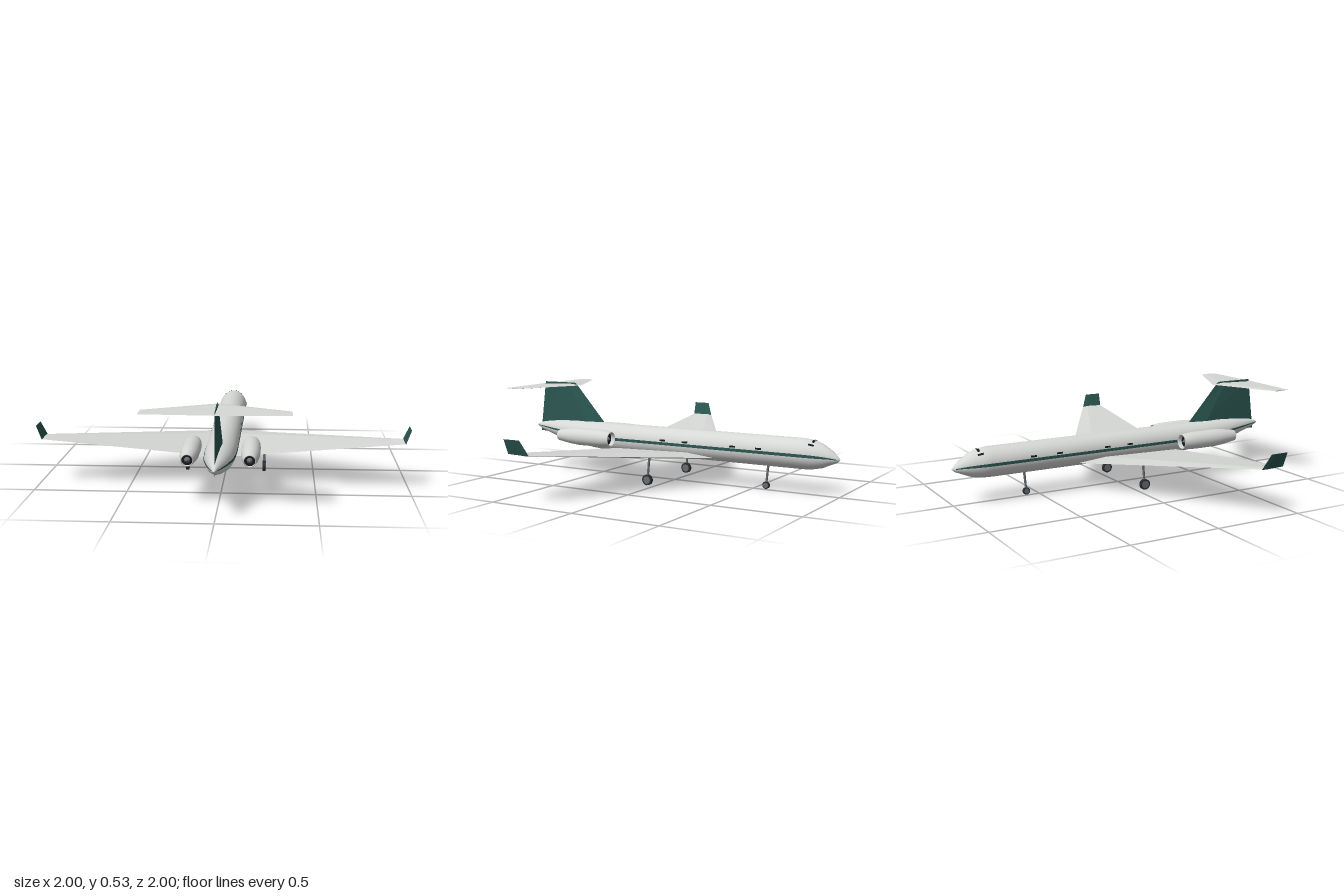
import * as THREE from 'three';

const paint = (name, color, side = THREE.FrontSide) => {
  const m = new THREE.MeshStandardMaterial({ color, side });
  m.name = name;
  return m;
};

// Skin through rings of equal point count, with end caps when closed
function loft(rings, { flat = false, closed = true } = {}) {
  const n = rings[0].length, pos = rings.flat(2), idx = [];
  for (let i = 0; i < rings.length - 1; i++) {
    for (let j = 0; j < (closed ? n : n - 1); j++) {
      const a = i * n + j, b = i * n + (j + 1) % n;
      idx.push(a, b, a + n, b, b + n, a + n);
    }
  }
  if (closed) {
    const e = (rings.length - 1) * n;
    for (let j = 1; j < n - 1; j++) idx.push(0, j + 1, j, e, e + j, e + j + 1);
    // Turn the faces outward if the enclosed volume is negative
    const v = k => new THREE.Vector3().fromArray(pos, k * 3);
    let volume = 0;
    for (let k = 0; k < idx.length; k += 3) volume += v(idx[k]).dot(v(idx[k + 1]).cross(v(idx[k + 2])));
    if (volume < 0) idx.reverse();
  }
  let g = new THREE.BufferGeometry();
  g.setAttribute('position', new THREE.Float32BufferAttribute(pos, 3));
  g.setIndex(idx);
  if (flat) g = g.toNonIndexed();
  g.computeVertexNormals();
  return g;
}

// Wedge-shaped aerofoil; each section is leading edge, trailing edge, upper and lower thickness vector
function foil(sections) {
  return loft(sections.map(([le, te, up, down]) => {
    const ridge = (t, s) => le.map((c, i) => c + (te[i] - c) * 0.25 + s * t[i]);
    return [le, ridge(up, 1), te, ridge(down ?? up, -1)];
  }), { flat: true });
}

// Body stations: z, centre height, half width, half height
const STATIONS = [
  [-1, 0.2, 0.002, 0.002], [-0.985, 0.202, 0.018, 0.018], [-0.95, 0.209, 0.04, 0.04],
  [-0.9, 0.214, 0.061, 0.066], [-0.85, 0.217, 0.076, 0.079], [-0.8, 0.2185, 0.083, 0.0835],
  [-0.2, 0.2185, 0.083, 0.0835], [0.43, 0.2185, 0.083, 0.0835], [0.56, 0.224, 0.081, 0.078],
  [0.7, 0.234, 0.072, 0.068], [0.84, 0.245, 0.048, 0.048], [0.94, 0.253, 0.024, 0.027],
  [0.985, 0.256, 0.01, 0.011], [1, 0.256, 0.002, 0.002],
];

function station(z) {
  const i = Math.max(1, STATIONS.findIndex(s => s[0] >= z));
  const a = STATIONS[i - 1], b = STATIONS[i], t = (z - a[0]) / (b[0] - a[0]);
  return a.map((v, k) => v + (b[k] - v) * t);
}

// Point on the body skin, lifted slightly
function skin(z, angle, lift = 0) {
  const [, cy, w, h] = station(z);
  return [Math.cos(angle) * (w + lift), cy + Math.sin(angle) * (h + lift), z];
}

export function createModel() {
  const white = paint('bodyGrey', 0xd6d8d6);
  const green = paint('darkGreen', 0x2b5650, THREE.DoubleSide);
  const dark = paint('glassBlack', 0x14191c, THREE.DoubleSide);
  const rubber = paint('tyreBlack', 0x2a2d30);
  const metal = paint('gearGrey', 0x686c70);

  const model = new THREE.Group();
  const add = (name, geometry, material, parent = model) => {
    const m = new THREE.Mesh(geometry, material);
    m.name = name;
    parent.add(m);
    return m;
  };

  // Fuselage
  add('fuselage', loft(STATIONS.map(s =>
    Array.from({ length: 32 }, (_, j) => skin(s[0], j / 32 * Math.PI * 2)))), white);

  // Patch lying on the skin between two stations and two angles
  const patch = (zs, a0, a1, steps, lift) => loft(zs.map(z =>
    Array.from({ length: steps + 1 }, (_, j) => skin(z, a0 + (a1 - a0) * j / steps, lift))), { closed: false });

  const stripeZ = STATIONS.map(s => s[0]).filter(z => z > -0.99 && z < 0.99);
  for (const side of [1, -1]) {
    const mirror = a => side > 0 ? a : Math.PI - a;
    // Side stripe
    add('sideStripe', patch(stripeZ, mirror(-0.1), mirror(0.09), 2, 0.002), green);
    // Cabin windows
    for (const z of [0.035, -0.11, -0.41, -0.565])
      add('cabinWindow', patch([z - 0.018, z + 0.018], mirror(0.15), mirror(0.27), 2, 0.002), dark);
    // Narrow cockpit panes
    add('cockpitWindow', patch([-0.865, -0.852], mirror(1.1), mirror(1.5), 4, 0.002), dark);
    add('cockpitSideWindow', patch([-0.87, -0.84], mirror(0.76), mirror(0.92), 2, 0.002), dark);
  }

  // Wing, one piece from tip to tip
  const wingTip = s => [[s * 0.97, 0.255, 0.28], [s * 0.97, 0.257, 0.412], [0, 0.005, 0]];
  add('wing', foil([
    wingTip(-1),
    [[0, 0.152, -0.32], [0, 0.158, 0.355], [0, 0.018, 0], [0, 0.02, 0]],
    wingTip(1),
  ]), white);

  // Tailplane
  const tailTip = s => [[s * 0.367, 0.516, 0.835], [s * 0.367, 0.516, 0.94], [0, 0.003, 0]];
  add('tailplane', foil([
    tailTip(-1), [[0, 0.516, 0.66], [0, 0.516, 0.952], [0, 0.007, 0]], tailTip(1),
  ]), white);

  // Fin
  add('fin', foil([
    [[0, 0.24, 0.434], [0, 0.22, 0.97], [0.019, 0, 0]],
    [[0, 0.3, 0.49], [0, 0.3, 0.96], [0.017, 0, 0]],
    [[0, 0.53, 0.7], [0, 0.53, 0.93], [0.005, 0, 0]],
  ]), green);

  // Wheel with hub and raked leg
  const landingGear = (name, x, z, r, width, topY, topZ) => {
    const gear = new THREE.Group();
    gear.name = name;
    model.add(gear);
    const cy = name === 'noseGear' ? r + 0.005 : r;
    const wheel = (n, radius, w, mat) => {
      const g = new THREE.CylinderGeometry(radius, radius, w, 20).rotateZ(Math.PI / 2);
      add(n, g, mat, gear).position.set(x, cy, z);
    };
    wheel('tyre', r, width, rubber);
    wheel('hub', r * 0.72, width + 0.003, metal);
    const from = new THREE.Vector3(x, cy, z), to = new THREE.Vector3(x, topY, topZ);
    const leg = add('leg', new THREE.CylinderGeometry(0.007, 0.006, from.distanceTo(to), 10), metal, gear);
    leg.position.copy(from).lerp(to, 0.5);
    leg.quaternion.setFromUnitVectors(new THREE.Vector3(0, 1, 0), to.sub(from).normalize());
  };
  landingGear('noseGear', 0, -0.578, 0.02, 0.014, 0.145, -0.59);

  // Engine shell profile: radius, z
  const shell = [
    [0.034, 0.38], [0.035, 0.345], [0.039, 0.335], [0.043, 0.338], [0.048, 0.38], [0.05, 0.43],
    [0.05, 0.56], [0.045, 0.62], [0.032, 0.705], [0.028, 0.705], [0.029, 0.67],
  ].map(p => new THREE.Vector2(...p));

  for (const s of [1, -1]) {
    // Winglet
    add('winglet', foil([
      [[s * 0.97, 0.252, 0.28], [s * 0.97, 0.254, 0.414], [s * 0.003, 0, 0]],
      [[s * 0.998, 0.333, 0.317], [s * 0.998, 0.333, 0.418], [s * 0.002, 0, 0]],
    ]), green);

    landingGear('mainGear', s * 0.22, 0.05, 0.03, 0.018, 0.172, 0.036);

    // Engine with fan, spinner and exhaust
    const engine = new THREE.Group();
    engine.name = 'engine';
    engine.position.set(s * 0.158, 0.23, 0);
    model.add(engine);
    add('nacelle', new THREE.LatheGeometry(shell, 28).rotateX(Math.PI / 2), white, engine);
    add('fan', new THREE.CircleGeometry(0.036, 28), dark, engine).position.z = 0.36;
    add('exhaust', new THREE.CircleGeometry(0.03, 28), dark, engine).position.z = 0.69;
    add('spinner', new THREE.ConeGeometry(0.014, 0.02, 16).rotateX(-Math.PI / 2), metal, engine).position.z = 0.35;
    add('exhaustCone', new THREE.ConeGeometry(0.017, 0.025, 16).rotateX(Math.PI / 2), metal, engine).position.z = 0.7;
  }
  return model;
}
